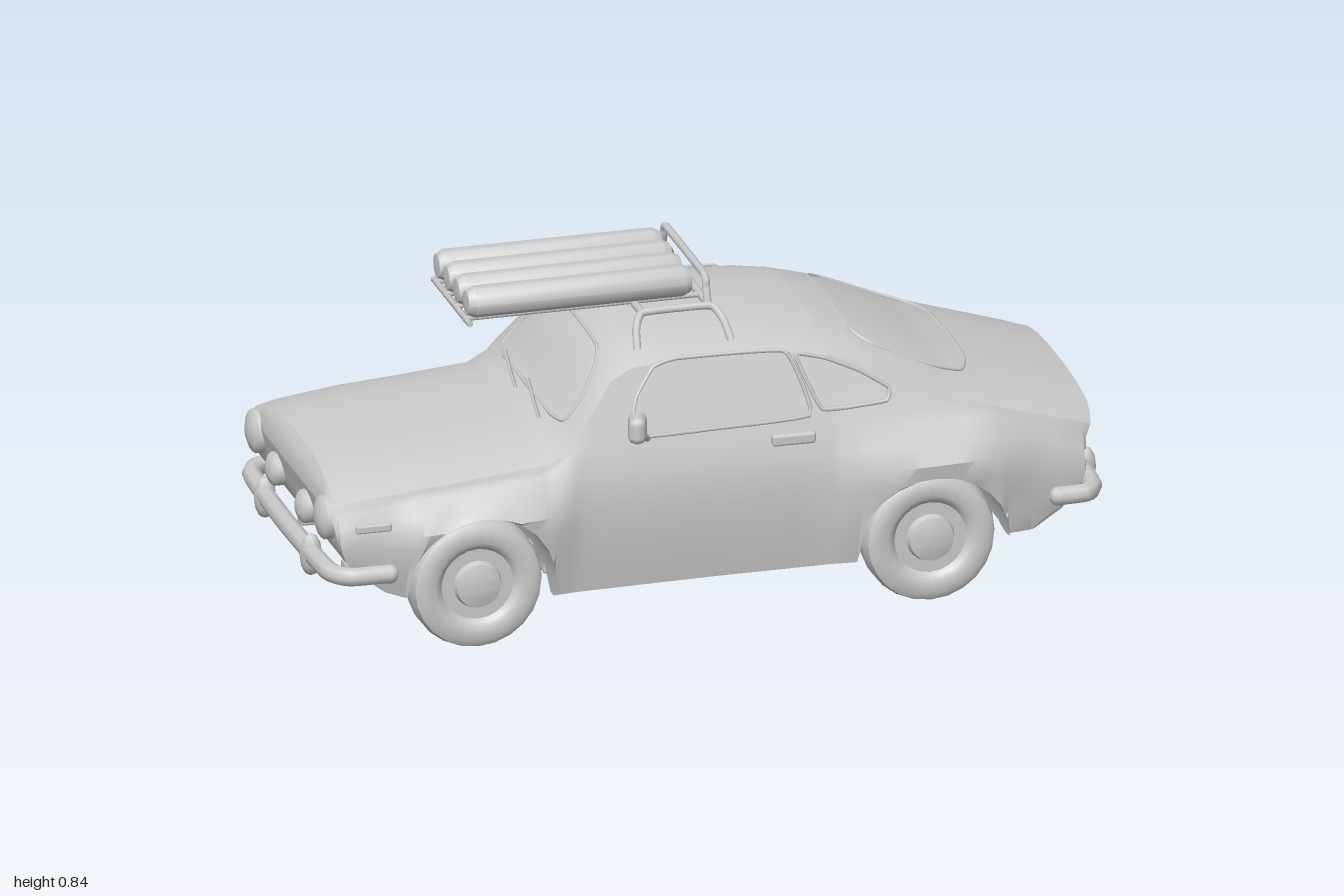
import * as THREE from 'three';
import { toCreasedNormals } from 'three/addons/utils/BufferGeometryUtils.js';
import { RoundedBoxGeometry } from 'three/addons/geometries/RoundedBoxGeometry.js';

const mat = new THREE.MeshStandardMaterial({ color: 0xcccccc, side: THREE.DoubleSide });
const V = (x, y, z) => new THREE.Vector3(x, y, z);

// Piecewise linear lookup through [key, value] pairs
function lookup(table, k) {
  if (k <= table[0][0]) return table[0][1];
  for (let i = 1; i < table.length; i++) {
    const [a, va] = table[i - 1], [b, vb] = table[i];
    if (k <= b) return va + (vb - va) * (k - a) / (b - a);
  }
  return table[table.length - 1][1];
}

// Body rules: the nose points to -x
const AXLES = [-0.6, 0.537], ARCH_R = 0.187, EDGE = 0.05;
const TOP = [[-1, 0.44], [-0.9, 0.458], [-0.75, 0.475], [-0.6, 0.486], [-0.42, 0.502], [-0.37, 0.53], [-0.31, 0.605],
  [-0.25, 0.68], [-0.2, 0.705], [-0.1, 0.714], [0.1, 0.712], [0.2, 0.705], [0.3, 0.69], [0.4, 0.66], [0.5, 0.617],
  [0.6, 0.57], [0.7, 0.535], [0.85, 0.49], [1, 0.445]];
const WIDTH = [[-1, 0.375], [-0.9, 0.39], [-0.75, 0.395], [-0.42, 0.39], [0, 0.385], [0.35, 0.39], [0.7, 0.395], [0.9, 0.385], [1, 0.37]];
const SILL = [[-1, 0.19], [-0.8, 0.165], [-0.78, 0.15], [-0.42, 0.12], [0.35, 0.125], [0.72, 0.16], [1, 0.165]];
const NOSE = [[0.14, -0.79], [0.19, -0.86], [0.25, -0.93], [0.3, -0.95], [0.38, -0.968], [0.43, -0.955], [0.46, -0.93]];
const TAIL = [[0.14, 0.76], [0.165, 0.8], [0.22, 0.88], [0.3, 0.925], [0.36, 0.92], [0.4, 0.94], [0.44, 0.965]];
const top = x => lookup(TOP, x);
const width = x => lookup(WIDTH, x);
const belt = x => Math.min(0.47, top(x) - 0.075);
const sideZ = (x, y) => width(x) - 0.022 - 0.36 * (y - belt(x));
const shoulder = x => sideZ(x, top(x) - EDGE);
const topY = (x, z) => top(x) - EDGE * Math.pow(Math.abs(z) / shoulder(x), 3);

function arch(x) {
  let y = 0;
  for (const c of AXLES) {
    const d = Math.abs(x - c);
    if (d <= ARCH_R) y = 0.165 + Math.sqrt(ARCH_R * ARCH_R - d * d) * (c < 0 ? 1 : 0.92);
  }
  return y;
}

function flare(x) {
  let f = 0;
  for (const c of AXLES) f = Math.max(f, 1 - Math.pow(Math.abs(x - c) / 0.25, 2.5));
  return 0.034 * Math.max(0, f);
}

// Half cross-section, from the centre of the floor up to the centre of the roof
function section(x) {
  const B = belt(x), T = top(x), s = lookup(SILL, x), a = arch(x);
  const f = Math.max(0.17, a), pts = [[f, 0], [f, 0.3]];
  const levels = [[0, 0.025, 0.1], [0, 0.02, 0.3], [0.2, 0.01, 0.6], [0.4, 0.003, 0.9], [0.55, 0, 1], [0.7, 0, 1], [0.85, 0.008, 0.5], [1, 0.022, 0.1]];
  levels.forEach(([u, tuck, w], i) => {
    const y = Math.max(s + (B - s) * u, a);
    const w2 = y <= a + 0.001 ? 0.9 : w;
    pts.push([y, (a > 0 && y <= a + 0.001 ? width(x) - 0.003 : width(x) - tuck) + flare(x) * w2 - (i === 0 ? 0.02 : 0)]);
  });
  for (const u of [0.33, 0.66, 1]) {
    const y = B + u * (T - EDGE - B);
    pts.push([y, sideZ(x, y)]);
  }
  for (const u of [0.95, 0.87, 0.75, 0.5, 0.25, 0]) pts.push([topY(x, shoulder(x) * u), shoulder(x) * u]);
  return pts.map(([y, z]) => V(Math.min(Math.max(x, lookup(NOSE, y)), lookup(TAIL, y)), y, z));
}

function bodyGeometry() {
  const xs = [...TOP.map(p => p[0]), -0.95, 0, 0.92, 0.96];
  for (const c of AXLES) for (const d of [0, 0.05, 0.095, 0.135, 0.165, 0.18, 0.187, 0.1875, 0.25]) xs.push(c - d, c + d);
  const rows = [...new Set(xs)].sort((a, b) => a - b).map(section);
  const half = rows[0].length, ring = half * 2;
  const pos = [], idx = [];
  for (const row of rows) {
    for (const p of row) pos.push(p.x, p.y, p.z);
    for (const p of [...row].reverse()) pos.push(p.x, p.y, -p.z);
  }
  const quad = (a, b, c, d) => idx.push(a, b, c, a, c, d);
  for (let i = 0; i < rows.length - 1; i++) for (let j = 0; j < ring; j++) {
    const k = (j + 1) % ring, r = i * ring;
    quad(r + j, r + ring + j, r + ring + k, r + k);
  }
  const e = (rows.length - 1) * ring;
  for (let j = 0; j < half - 1; j++) {
    quad(e + j, e + ring - 1 - j, e + ring - 2 - j, e + j + 1);
    quad(j, j + 1, ring - 2 - j, ring - 1 - j);
  }
  const g = new THREE.BufferGeometry();
  g.setAttribute('position', new THREE.Float32BufferAttribute(pos, 3));
  g.setIndex(idx);
  return toCreasedNormals(g, 0.5);
}

export function createModel() {
  const car = new THREE.Group();
  car.name = 'car';
  const add = (name, geo, x = 0, y = 0, z = 0) => {
    const m = new THREE.Mesh(geo, mat);
    m.name = name;
    m.position.set(x, y, z);
    car.add(m);
    return m;
  };
  const box = (name, w, h, d, x, y, z, r = 0.008) => add(name, new RoundedBoxGeometry(w, h, d, 1, r), x, y, z);
  const rod = (name, r, len, axis, x, y, z, sides = 12) => {
    const g = new THREE.CylinderGeometry(r, r, len, sides);
    if (axis === 'x') g.rotateZ(Math.PI / 2);
    if (axis === 'z') g.rotateX(Math.PI / 2);
    return add(name, g, x, y, z);
  };
  const tube = (name, pts, r, closed = false, tension = 0.2, sides = 8) =>
    add(name, new THREE.TubeGeometry(new THREE.CatmullRomCurve3(pts, closed, 'catmullrom', tension), pts.length * 8, r, sides, closed));

  add('body', bodyGeometry());

  // Window trims that follow the body surface
  const sideWindows = [
    [[-0.21, 0.5], [-0.19, 0.59], [-0.14, 0.655], [-0.08, 0.668], [0.19, 0.66], [0.24, 0.51], [0.0, 0.5]],
    [[0.215, 0.65], [0.29, 0.635], [0.37, 0.6], [0.44, 0.555], [0.43, 0.525], [0.27, 0.52]]];
  for (const s of [1, -1]) for (const w of sideWindows)
    tube('sideWindowTrim', w.map(([x, y]) => V(x, y, s * (Math.min(sideZ(x, y), shoulder(x) + 0.06) + 0.001))), 0.005, true, 0.15, 6);
  const panes = {
    rearWindowTrim: [[0.385, 0.19], [0.43, 0.235], [0.57, 0.25], [0.65, 0.235], [0.68, 0.16], [0.685, 0]],
    windshieldTrim: [[-0.245, 0.17], [-0.265, 0.225], [-0.31, 0.265], [-0.355, 0.27], [-0.37, 0.2], [-0.375, 0]] };
  for (const [name, p] of Object.entries(panes)) {
    const loop = [[p[0][0], 0], ...p, ...p.slice(0, -1).reverse().map(([x, z]) => [x, -z])];
    tube(name, loop.map(([x, z]) => V(x, topY(x, z), z)), 0.005, true, 0.2, 6);
  }

  // Wheels: tyre, rim and domed hubcap in one turned profile
  const profile = [[0, -0.03], [0.09, -0.045], [0.11, -0.052], [0.142, -0.052], [0.158, -0.043], [0.165, -0.02], [0.165, 0.02], [0.158, 0.043],
    [0.142, 0.053], [0.11, 0.052], [0.098, 0.045], [0.09, 0.034], [0.06, 0.034], [0.055, 0.05], [0.03, 0.057], [0, 0.058]];
  const wheelGeo = toCreasedNormals(new THREE.LatheGeometry(profile.map(p => new THREE.Vector2(...p)), 24), 0.6);
  for (const x of AXLES) for (const s of [1, -1]) add('wheel', wheelGeo, x, 0.165, s * 0.328).rotation.x = s * Math.PI / 2;

  // Bumpers with overriders
  const bumper = (name, pts, y) => {
    const path = [...pts, ...pts.slice(0, -1).reverse().map(([x, z]) => [x, -z])].map(([x, z]) => V(x, 0, z));
    tube(name, path, 0.024, false, 0.3).position.y = y;
    for (const s of [1, -1]) add(name + 'End', new THREE.SphereGeometry(0.024, 8, 6), pts[0][0], y, s * pts[0][1]);
  };
  bumper('frontBumper', [[-0.83, 0.395], [-0.93, 0.39], [-0.965, 0.34], [-0.972, 0.2], [-0.975, 0]], 0.228);
  bumper('rearBumper', [[0.85, 0.395], [0.92, 0.39], [0.95, 0.34], [0.955, 0.2], [0.96, 0]], 0.25);
  for (const s of [1, -1]) {
    const over = (x, y, h) => add('overrider', new THREE.SphereGeometry(1, 8, 6), x, y, s * 0.2).scale.set(0.028, h, 0.027);
    over(-0.972, 0.222, 0.055);
    over(0.972, s > 0 ? 0.24 : 0.265, s > 0 ? 0.055 : 0.04);

    // Lamps
    const lamp = (name, r, y, z) => {
      const g = new THREE.LatheGeometry([[0, -0.03], [r, -0.03], [r, 0.01], [r * 0.85, 0.018], [r * 0.45, 0.026], [0, 0.03]].map(p => new THREE.Vector2(...p)), 14);
      add(name, toCreasedNormals(g, 0.6), -0.962, y, s * z).rotation.z = Math.PI / 2;
    };
    lamp('headlamp', 0.055, 0.355, 0.3);
    lamp('fogLamp', 0.042, 0.32, 0.13);
    box('tailLamp', 0.03, 0.05, 0.17, 0.92, 0.365, s * 0.265, 0.01);
    box('frontIndicator', 0.09, 0.022, 0.016, -0.87, 0.35, s * 0.396, 0.006);

    // Door mirrors and handles
    box('mirror', 0.045, 0.07, 0.08, -0.205, 0.535, s * 0.385, 0.02).rotation.y = s * -0.3;
    tube('mirrorArm', [V(-0.17, 0.49, s * 0.35), V(-0.185, 0.51, s * 0.375), V(-0.2, 0.53, s * 0.385)], 0.009);
    box('doorHandle', 0.11, 0.03, 0.026, 0.19, 0.462, s * 0.374);

    // Rack side rail, wiper
    tube('rackSide', [V(-0.17, 0.69, s * 0.262), V(-0.165, 0.73, s * 0.235), V(-0.14, 0.76, s * 0.205), V(0.03, 0.76, s * 0.205), V(0.055, 0.73, s * 0.235), V(0.065, 0.69, s * 0.262)], 0.01);
    tube('wiper', [V(-0.4, 0.515, s * 0.1 + 0.1), V(-0.385, 0.522, s * 0.1), V(-0.37, 0.537, s * 0.1 - 0.1)], 0.005, false, 0.2, 5);
  }

  // Roof rack bars and the four long canisters
  for (const x of [-0.14, 0.03]) rod('rackCrossBar', 0.01, 0.41, 'z', x, 0.757, 0, 8);
  tube('rackHoop', [V(0.025, 0.76, 0.2), V(0.025, 0.8, 0.185), V(0.025, 0.828, 0.165), V(0.025, 0.828, -0.165), V(0.025, 0.8, -0.185), V(0.025, 0.76, -0.2)], 0.01);
  const can = toCreasedNormals(new THREE.LatheGeometry([[0, -0.285], [0.03, -0.28], [0.039, -0.262], [0.039, 0.262], [0.03, 0.28], [0, 0.285]].map(p => new THREE.Vector2(...p)), 10), 0.7);
  for (let i = 0; i < 4; i++) {
    const z = -0.127 + i * 0.0855;
    add('canister', can, -0.282, 0.803, z).rotation.z = Math.PI / 2;
    rod('canisterRail', 0.007, 0.6, 'x', -0.27, 0.762, z, 6);
  }
  rod('canisterFrontBar', 0.008, 0.32, 'z', -0.56, 0.757, 0, 6);

  // Underbody
  for (const x of AXLES) rod('axle', 0.022, 0.56, 'z', x, 0.165, 0);
  add('differential', new THREE.SphereGeometry(0.07, 10, 8), 0.537, 0.16, 0);
  box('engine', 0.3, 0.18, 0.2, -0.62, 0.21, 0, 0.02);
  box('sump', 0.2, 0.06, 0.12, -0.6, 0.12, 0, 0.015);
  box('gearbox', 0.26, 0.08, 0.11, -0.34, 0.145, 0, 0.02);
  rod('driveshaft', 0.018, 0.75, 'x', 0.15, 0.15, 0);
  box('fuelTank', 0.16, 0.09, 0.4, 0.8, 0.21, 0, 0.02);
  for (const s of [1, -1]) {
    box('chassisRail', 0.75, 0.05, 0.045, -0.03, 0.155, s * 0.24);
    box('subframeRail', 0.5, 0.05, 0.04, -0.64, 0.17, s * 0.19);
    box('suspensionArm', 0.06, 0.035, 0.18, -0.6, 0.12, s * 0.2);
    rod('rearSpring', 0.03, 0.17, 'y', 0.537, 0.25, s * 0.2);
    box('trailingArm', 0.24, 0.035, 0.035, 0.43, 0.145, s * 0.2);
  }
  box('silencer', 0.24, 0.05, 0.1, -0.05, 0.13, 0.13, 0.022);
  box('rearSilencer', 0.22, 0.05, 0.1, 0.25, 0.13, -0.13, 0.022);
  tube('exhaustPipe', [V(-0.5, 0.14, 0.11), V(-0.05, 0.13, 0.13), V(0.12, 0.135, 0.1), V(0.2, 0.135, -0.1), V(0.34, 0.13, -0.13), V(0.66, 0.13, -0.14), V(0.86, 0.15, -0.14)], 0.013);
  return car;
}
